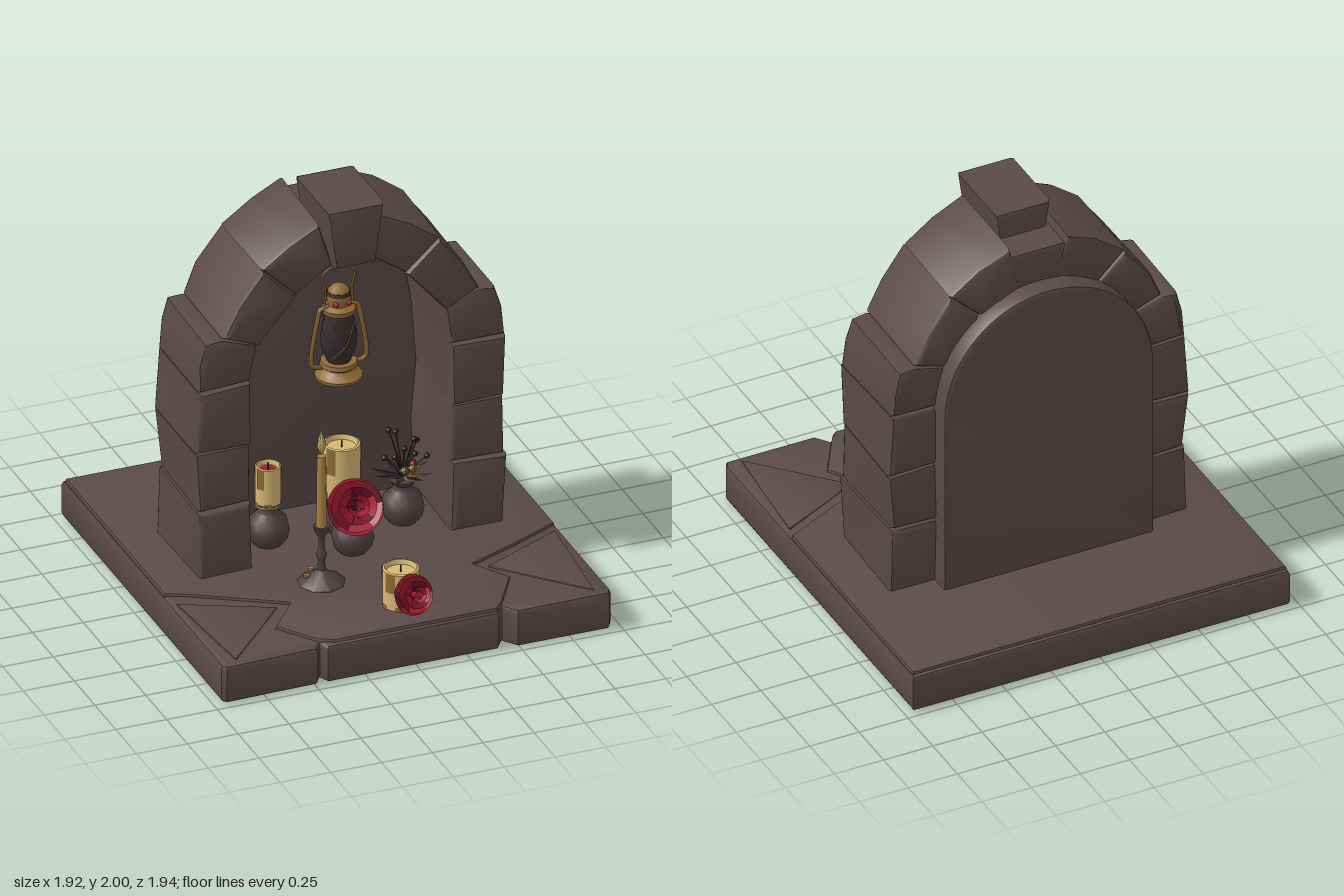
import * as THREE from 'three';
import { toCreasedNormals } from 'three/addons/utils/BufferGeometryUtils.js';

const mat = (name, color, extra = {}) => Object.assign(new THREE.MeshStandardMaterial({ color, ...extra }), { name });
const D = { side: THREE.DoubleSide };

export function createModel() {
  const stone = mat('stone', 0x5a4949);
  const clay = mat('clay', 0x4e4141);
  const wax = mat('wax', 0xd6b873, D);
  const brass = mat('brass', 0x8f6a35, D);
  const taperWax = mat('taperWax', 0xa98345);
  const red = mat('rosePetal', 0xa0182f, D);
  const darkRed = mat('darkPetal', 0x6e1226, D);
  const soot = mat('soot', 0x352c2e, D);
  const model = new THREE.Group();

  function add(name, geo, m, x = 0, y = 0, z = 0, parent = model) {
    const mesh = new THREE.Mesh(geo, m);
    mesh.name = name;
    mesh.position.set(x, y, z);
    parent.add(mesh);
    return mesh;
  }
  const group = (name, x, y, z) => {
    const g = new THREE.Group();
    g.name = name;
    g.position.set(x, y, z);
    model.add(g);
    return g;
  };
  const shapeOf = pts => new THREE.Shape(pts.map(p => new THREE.Vector2(...p)));
  const lathe = (pts, n = 14) => toCreasedNormals(new THREE.LatheGeometry(pts.map(p => new THREE.Vector2(...p)), n), 0.75);
  const tube = (pts, r, n = 12) => new THREE.TubeGeometry(new THREE.CatmullRomCurve3(pts.map(p => new THREE.Vector3(...p))), n, r, 5);

  // Bevelled slab between z0 and z1, slightly uneven when worn > 0
  function slab(shape, z0, z1, bevel, worn = 0) {
    const g = new THREE.ExtrudeGeometry(shape, {
      depth: z1 - z0 - 2 * bevel, bevelThickness: bevel, bevelSize: bevel, bevelOffset: -bevel, bevelSegments: 2, curveSegments: 20,
    });
    g.translate(0, 0, z0 + bevel);
    const p = g.attributes.position;
    for (let i = 0; i < p.count; i++) {
      const x = p.getX(i), y = p.getY(i), z = p.getZ(i);
      p.setXYZ(i, x + worn * Math.sin(y * 9 + z * 5 + x * 3), y + worn * 0.5 * Math.sin(x * 11 + z * 6), z + worn * Math.sin(x * 8 + y * 13));
    }
    return toCreasedNormals(g, 0.7);
  }

  // Floor: notched plinth with a raised paving slab between the broken front corners
  const plinth = slab(shapeOf([[-0.96, 0.97], [-0.96, -0.95], [-0.94, -0.97], [-0.49, -0.96], [-0.46, -0.91], [-0.44, -0.96],
    [0.4, -0.96], [0.44, -0.9], [0.49, -0.97], [0.94, -0.97], [0.96, -0.93], [0.96, 0.97]]), 0, 0.195, 0.025);
  plinth.rotateX(-Math.PI / 2);
  add('plinth', plinth, stone);
  const paving = slab(shapeOf([[-0.95, 0.95], [-0.95, -0.24], [-0.88, -0.27], [-0.45, -0.53], [-0.6, -0.72], [-0.47, -0.9], [-0.4, -0.94],
    [0.4, -0.94], [0.45, -0.88], [0.57, -0.68], [0.46, -0.5], [0.7, -0.4], [0.95, -0.28], [0.95, 0.95]]), 0.15, 0.21, 0.012);
  paving.rotateX(-Math.PI / 2);
  add('paving', paving, stone);
  // Low broken stones at the front corners
  for (const s of [-1, 1]) {
    const chip = slab(shapeOf([[s * 0.93, -0.34], [s * 0.52, -0.54], [s * 0.88, -0.93]]), 0.18, 0.203, 0.006);
    chip.rotateX(-Math.PI / 2);
    add('brokenCorner', chip, stone);
  }

  // Arched back wall
  const wall = new THREE.Shape();
  wall.moveTo(-0.54, 0.19);
  wall.lineTo(0.53, 0.19);
  wall.lineTo(0.53, 1.16);
  wall.bezierCurveTo(0.52, 1.44, 0.32, 1.7, 0, 1.7);
  wall.bezierCurveTo(-0.32, 1.7, -0.53, 1.44, -0.54, 1.16);
  add('backWall', slab(wall, -0.43, -0.3, 0.02), stone);

  // Arch stones, outlined for one side and mirrored
  const stones = [
    [[0.49, 0.2], [0.75, 0.2], [0.755, 0.545], [0.49, 0.55]],
    [[0.49, 0.55], [0.745, 0.55], [0.76, 0.845], [0.5, 0.85]],
    [[0.5, 0.85], [0.76, 0.85], [0.75, 1.16], [0.49, 1.165]],
    [[0.49, 1.165], [0.75, 1.165], [0.74, 1.3], [0.71, 1.41], [0.63, 1.42], [0.455, 1.36]],
    [[0.455, 1.355], [0.63, 1.425], [0.56, 1.57], [0.44, 1.73], [0.275, 1.575]],
    [[0.275, 1.575], [0.445, 1.735], [0.3, 1.84], [0.145, 1.91], [0.09, 1.7]],
  ];
  for (const s of [-1, 1]) stones.forEach((pts, i) => {
    const g = slab(shapeOf(pts.map(([x, y]) => [s * x, y])), -0.34, 0.18 - (i % 2) * 0.012, 0.025, 0.008);
    add(i < 3 ? 'pillarStone' : 'archStone', g, stone);
  });
  add('keystone', slab(shapeOf([[-0.1, 1.7], [0.1, 1.7], [0.14, 2], [-0.14, 2]]), -0.18, 0.23, 0.025), stone);
  add('keystoneBacking', slab(shapeOf([[-0.12, 1.67], [0.12, 1.67], [0.17, 1.87], [-0.17, 1.87]]), -0.335, -0.1, 0.02), stone);

  // Round pots
  const potProfile = [[0, 0], [0.055, 0], [0.09, 0.04], [0.1, 0.09], [0.088, 0.14], [0.05, 0.175], [0.045, 0.2], [0.065, 0.225], [0.05, 0.225], [0, 0.2]];
  for (const [x, z] of [[-0.33, -0.03], [0.03, 0], [0.0, 0.18], [0.32, 0]]) add('pot', lathe(potProfile, 12), clay, x, 0.2, z);

  // Pillar candles with sunken tops and thin drips
  function pillarCandle(x, y, z, r, h, top) {
    const g = group('pillarCandle', x, y, z);
    add('candleBody', lathe([[0, 0], [r, 0], [r, h], [r * 0.88, h + 0.004], [r * 0.8, h - 0.02], [0, h - 0.025]], 18), wax, 0, 0, 0, g);
    add('candlePool', new THREE.CircleGeometry(r * 0.72, 14).rotateX(-Math.PI / 2), top, 0, h - 0.02, 0, g);
    add('wick', new THREE.CylinderGeometry(0.004, 0.004, 0.04, 5), soot, 0, h - 0.005, 0, g);
    [[-1.3, 0.6, 0.5], [0.9, 0.35, 0.3], [2.6, 0.7, 0.4], [4, 0.5, 0.25]].forEach(([a, w, k]) => {
      add('waxDrip', new THREE.CylinderGeometry(r + 0.003, r + 0.003, h * k, 5, 1, true, a, w), brass, 0, h * (1 - k / 2), 0, g);
      add('waxFoot', new THREE.CylinderGeometry(r + 0.003, r + 0.003, h * 0.14, 5, 1, true, a + 0.6, w), brass, 0, h * 0.07, 0, g);
    });
  }
  pillarCandle(-0.33, 0.41, -0.03, 0.06, 0.2, red);
  pillarCandle(0.02, 0.41, 0, 0.086, 0.26, wax);
  pillarCandle(0.01, 0.205, 0.735, 0.085, 0.19, wax);

  // Candlestick with taper and flame
  const stick = group('candlestick', -0.245, 0.2, 0.405);
  add('stickFoot', lathe([[0, 0], [0.115, 0], [0.11, 0.015], [0.05, 0.05], [0.02, 0.075], [0.016, 0.12], [0.026, 0.15], [0.014, 0.18],
    [0.013, 0.24], [0.03, 0.265], [0.04, 0.3], [0.03, 0.3], [0, 0.28]], 9), clay, 0, 0, 0, stick);
  add('taper', new THREE.CylinderGeometry(0.021, 0.025, 0.38, 10), taperWax, 0, 0.47, 0, stick);
  add('flame', lathe([[0, 0], [0.012, 0.02], [0.021, 0.05], [0.015, 0.085], [0, 0.135]], 8), wax, 0, 0.665, 0, stick);
  for (const [x, z] of [[-0.065, -0.02], [-0.02, -0.075]])
    add('waxSpot', new THREE.CylinderGeometry(0.016, 0.018, 0.008, 7), brass, x, 0.044, z, stick);

  // Hanging lantern
  const lamp = group('lantern', 0.005, 1.02, 0);
  add('lanternBase', lathe([[0, 0], [0.11, 0], [0.112, 0.015], [0.085, 0.03], [0.07, 0.05], [0.09, 0.065], [0.085, 0.085], [0, 0.09]], 14), brass, 0, 0, 0, lamp);
  add('lanternGlass', lathe([[0.055, 0.085], [0.08, 0.15], [0.086, 0.21], [0.075, 0.28], [0.06, 0.34]], 14), soot, 0, 0, 0, lamp);
  add('lanternCap', lathe([[0, 0.33], [0.075, 0.335], [0.08, 0.36], [0.05, 0.375], [0.058, 0.41], [0.05, 0.45], [0.03, 0.47], [0, 0.475]], 12), brass, 0, 0, 0, lamp);
  add('lanternVent', new THREE.CylinderGeometry(0.053, 0.058, 0.018, 12), soot, 0, 0.435, 0, lamp);
  for (const s of [-1, 1]) {
    add('sideTube', tube([[s * 0.05, 0.37, 0], [s * 0.09, 0.36, 0], [s * 0.105, 0.31, 0], [s * 0.135, 0.12, 0], [s * 0.13, 0.075, 0], [s * 0.08, 0.06, 0]], 0.012, 18), brass, 0, 0, 0, lamp);
    for (const f of [-1, 1])
      add('guardWire', tube([[s * 0.055, 0.3, f * 0.06], [0, 0.2, f * 0.092], [-s * 0.055, 0.12, f * 0.05]], 0.004), brass, 0, 0, 0, lamp);
    add('redStud', new THREE.SphereGeometry(0.014, 7, 5), red, s * 0.032, 0.395, 0.047, lamp);
  }
  add('carryHandle', tube([[-0.07, 0.36, 0], [-0.066, 0.46, 0], [-0.08, 0.53, 0], [-0.045, 0.563, 0], [0.045, 0.563, 0], [0.08, 0.53, 0], [0.066, 0.46, 0], [0.07, 0.36, 0]], 0.006, 30), brass, 0, 0, 0, lamp);

  // One curled petal, opening outwards from the flower axis
  function petal(r, open, height, width) {
    const g = new THREE.PlaneGeometry(1, 1, 4, 3), p = g.attributes.position;
    for (let i = 0; i < p.count; i++) {
      const u = p.getX(i), v = p.getY(i) + 0.5;
      const a = u * width * (0.5 + 0.7 * Math.sin(v * 2.3));
      const d = r * (0.1 + open * Math.pow(v, 0.8) + 0.1 * u * u);
      p.setXYZ(i, Math.sin(a) * d, r * height * (v - 0.9 * u * u * v), Math.cos(a) * d);
    }
    return toCreasedNormals(g, 0.3);
  }
  function rose(x, y, z, r, tilt, turn) {
    const g = group('rose', x, y, z);
    g.rotation.set(tilt, 0, turn);
    [[3, 0.12, 0.85, 2.2], [4, 0.32, 0.85, 1.8], [5, 0.6, 0.7, 1.4], [6, 0.85, 0.45, 1.2], [6, 0.95, 0.1, 1.1]].forEach(([n, open, h, w], k) => {
      for (let i = 0; i < n; i++)
        add('petal', petal(r, open, h, w), (i + k) % 3 ? red : darkRed, 0, 0, 0, g).rotation.y = (i / n) * Math.PI * 2 + k * 0.7;
    });
  }
  rose(-0.025, 0.48, 0.27, 0.125, 1.0, 0.15);
  rose(0.02, 0.31, 0.85, 0.09, 1.15, -0.1);
  add('roseStem', tube([[0, 0.38, 0.18], [-0.01, 0.44, 0.22], [-0.025, 0.49, 0.28]], 0.012), soot);

  // Dried flowers: spread leaves, thin stems and buds
  const dried = group('driedFlowers', 0.32, 0.42, 0);
  for (let i = 0; i < 9; i++) {
    const a = i * 2.4, c = Math.cos(a), s = Math.sin(a), h = 0.12 + 0.035 * (i % 4), r = 0.06 + 0.025 * (i % 3);
    add('driedStem', tube([[0, 0, 0], [c * r * 0.4, h * 0.5, s * r * 0.4], [c * r, h, s * r]], 0.004, 6), soot, 0, 0, 0, dried);
    add('driedBud', new THREE.IcosahedronGeometry(0.016, 0), i % 4 === 1 ? darkRed : soot, c * r, h, s * r, dried);
    const leaf = new THREE.ConeGeometry(0.03, 0.15, 4).scale(1, 1, 0.2).translate(0, 0.075, 0).rotateX(1.3);
    add('driedLeaf', leaf, i % 3 ? soot : brass, 0, 0.01, 0, dried).rotation.y = a;
    if (i % 3 === 0) add('smallBloom', new THREE.IcosahedronGeometry(0.022, 0), i ? brass : red, c * 0.05, 0.07, s * 0.05, dried);
  }
  return model;
}
